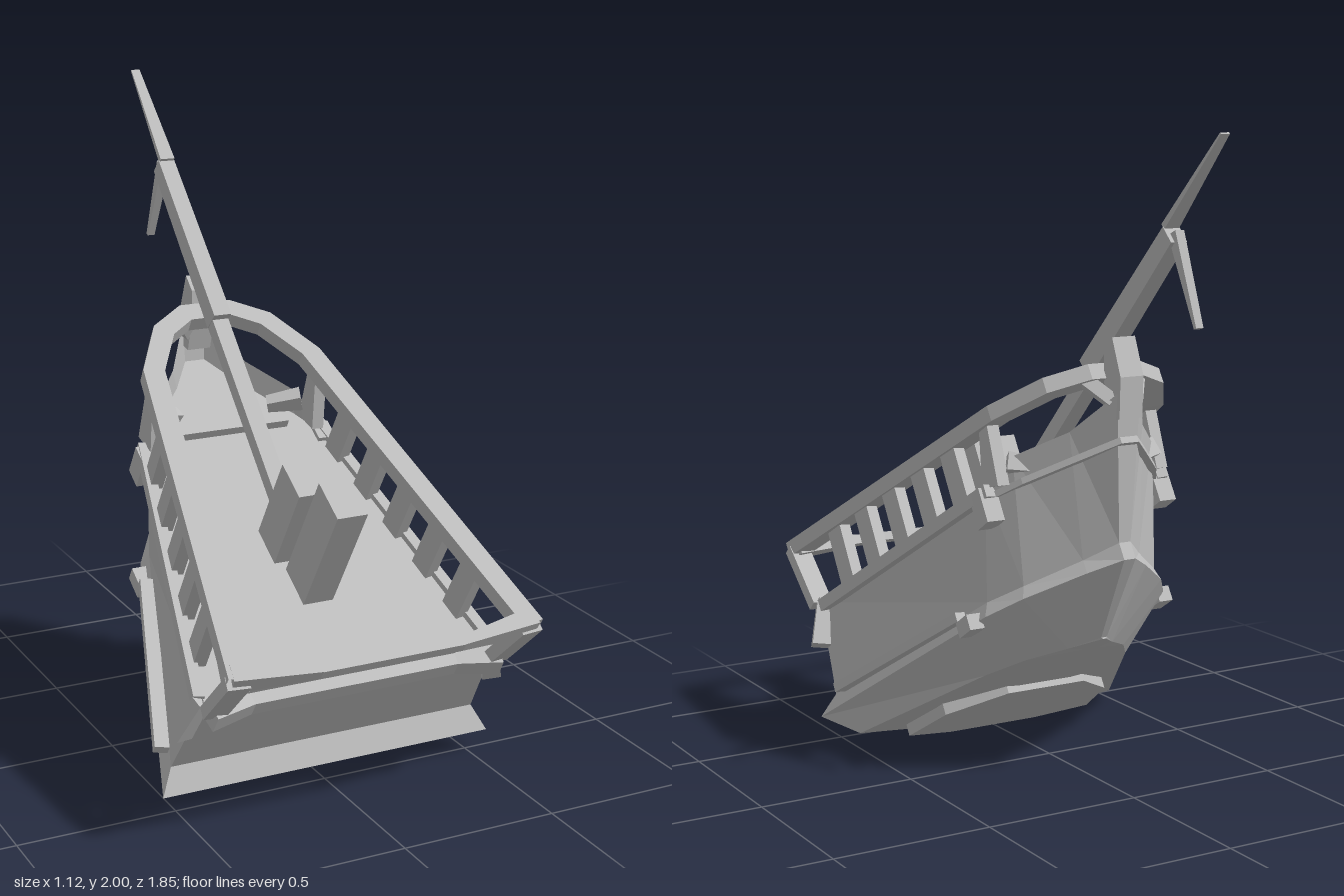
import * as THREE from 'three';

const gray = new THREE.MeshStandardMaterial({ color: 0xbcbcbc, flatShading: true, side: THREE.DoubleSide });
gray.name = 'weathered gray';

function add(parent, name, geometry) {
  const mesh = new THREE.Mesh(geometry, gray);
  mesh.name = name;
  parent.add(mesh);
  return mesh;
}

function box(parent, name, [x, y, z], [w, h, d]) {
  const mesh = add(parent, name, new THREE.BoxGeometry(w, h, d));
  mesh.position.set(x, y, z);
  return mesh;
}

// Straight beam from a to b, optionally tapering to width w1 and height h1
function beam(parent, name, a, b, w, h, w1 = w, h1 = h) {
  const from = new THREE.Vector3(...a), to = new THREE.Vector3(...b);
  const geo = new THREE.BoxGeometry(1, 1, from.distanceTo(to));
  const p = geo.attributes.position;
  for (let i = 0; i < p.count; i++) {
    const end = p.getZ(i) > 0;
    p.setX(i, p.getX(i) * (end ? w1 : w));
    p.setY(i, p.getY(i) * (end ? h1 : h));
  }
  geo.computeVertexNormals();
  // Aim within the parent's own frame, before attaching
  const mesh = new THREE.Mesh(geo, gray);
  mesh.name = name;
  mesh.position.copy(from).lerp(to, 0.5);
  mesh.lookAt(to);
  parent.add(mesh);
}

// Quad strips between successive rows of points
function loft(rows, closed = false) {
  const pos = [];
  const n = rows[0].length;
  for (let i = 0; i < rows.length - 1; i++) {
    for (let j = 0; j < (closed ? n : n - 1); j++) {
      const k = (j + 1) % n;
      const a = rows[i][j], b = rows[i][k], c = rows[i + 1][k], d = rows[i + 1][j];
      pos.push(...a, ...b, ...c, ...a, ...c, ...d);
    }
  }
  const geo = new THREE.BufferGeometry();
  geo.setAttribute('position', new THREE.Float32BufferAttribute(pos, 3));
  geo.computeVertexNormals();
  return geo;
}

const mirror = ([x, y, z]) => [-x, y, z];

// Horizontal plate from a half outline of [x, z] points
function plate(parent, name, half, y, thickness) {
  const pts = [...half, ...half.map(([x, z]) => [-x, z]).reverse()];
  const shape = new THREE.Shape(pts.map(([x, z]) => new THREE.Vector2(x, -z)));
  const geo = new THREE.ExtrudeGeometry(shape, { depth: thickness, bevelEnabled: false });
  geo.rotateX(-Math.PI / 2);
  add(parent, name, geo).position.y = y;
}

// Mitred rectangular rail following a path
function rail(path, w, h) {
  return loft(path.map((p, i) => {
    const a = path[Math.max(i - 1, 0)], b = path[Math.min(i + 1, path.length - 1)];
    const dx = b[0] - a[0], dz = b[2] - a[2], l = Math.hypot(dx, dz);
    const nx = -dz / l * w / 2, nz = dx / l * w / 2;
    return [[1, 1], [1, -1], [-1, -1], [-1, 1]].map(([s, t]) => [p[0] + s * nx, p[1] + t * h / 2, p[2] + s * nz]);
  }), true);
}

export function createModel() {
  const model = new THREE.Group();
  model.name = 'shipBow';
  const ship = new THREE.Group();
  ship.name = 'tiltedBow';
  ship.rotation.x = 0.5586;
  model.add(ship);

  // Hull: lines running from stern to stem, listed from sheer to keel
  const lines = [
    [[0.485, 0.71, 0.355], [0.305, 0.71, -0.6], [0.25, 0.76, -0.715], [0.13, 0.76, -0.87], [0.04, 0.8, -1.04]],
    [[0.515, 0.39, 0.35], [0.305, 0.405, -0.42], [0.235, 0.405, -0.54], [0.1, 0.415, -0.69], [0.02, 0.425, -0.785]],
    [[0.555, 0.34, 0.42], [0.325, 0.36, -0.42], [0.25, 0.365, -0.54], [0.105, 0.37, -0.7], [0.02, 0.37, -0.785]],
    [[0.48, 0.24, 0.32], [0.26, 0.235, -0.2], [0.18, 0.23, -0.33], [0.08, 0.22, -0.43], [0.01, 0.215, -0.52]],
    [[0.12, 0.21, 0.31], [0.09, 0.21, -0.2], [0.06, 0.21, -0.33], [0.03, 0.21, -0.43], [0.005, 0.21, -0.52]],
  ];
  add(ship, 'leftHull', loft(lines));
  add(ship, 'rightHull', loft(lines.map(l => l.map(mirror))));
  add(ship, 'transom', loft(lines.map(l => [l[0], mirror(l[0])])));
  add(ship, 'stemFace', loft(lines.map(l => [l[4], mirror(l[4])])));
  add(ship, 'bottom', loft([lines[4], lines[4].map(mirror)]));
  plate(ship, 'bottomPlate', [[0.16, 0.31], [0.34, 0.26], [0.3, 0.05], [0.14, -0.1]], 0.19, 0.04);

  // Deck with a raised inner panel and a low step at the bow
  plate(ship, 'deck', [[0.475, 0.355], [0.3, -0.6], [0.24, -0.71], [0.12, -0.86], [0.03, -0.97]], 0.67, 0.02);
  plate(ship, 'deckPanel', [[0.36, 0.34], [0.4, 0.29], [0.215, -0.58], [0.17, -0.62]], 0.69, 0.012);
  plate(ship, 'deckInnerPanel', [[0.33, 0.31], [0.365, 0.27], [0.19, -0.55], [0.15, -0.585]], 0.702, 0.008);
  box(ship, 'bowStep', [0, 0.705, -0.645], [0.4, 0.03, 0.03]);

  // Top rail running round the bow
  const half = [[0.475, 0.94, 0.46], [0.275, 0.89, -0.745], [0.18, 0.89, -0.91], [0.08, 0.89, -0.975]];
  add(ship, 'topRail', rail([...half, ...half.map(mirror).reverse()], 0.07, 0.05));
  beam(ship, 'sternCrossbar', [-0.23, 0.95, 0.475], [0.23, 0.95, 0.475], 0.03, 0.03);
  beam(ship, 'sternSill', [-0.35, 0.69, 0.375], [0.35, 0.69, 0.375], 0.04, 0.05);

  for (const s of [1, -1]) {
    const side = s > 0 ? 'left' : 'right';
    const m = ([x, y, z]) => [s * x, y, z];
    // Stern frame corners
    beam(ship, side + 'CrossbarEnd', m([0.22, 0.95, 0.475]), m([0.49, 0.935, 0.435]), 0.03, 0.03, 0.06, 0.06);
    beam(ship, side + 'SternPost', m([0.475, 0.94, 0.455]), m([0.47, 0.71, 0.39]), 0.07, 0.04);
    beam(ship, side + 'SillEnd', m([0.34, 0.69, 0.375]), m([0.48, 0.7, 0.395]), 0.04, 0.05, 0.07, 0.06);
    // Rail posts
    for (let i = 0; i < 5; i++) {
      const z = 0.18 - i * 0.168, x = 0.405 + z * 0.17;
      const post = box(ship, side + 'RailPost', [s * x, 0.79, z], [0.04, 0.22, 0.075]);
      post.rotation.y = s * 0.17;
    }
    // Bow knees around the side openings
    beam(ship, side + 'BowKnee', m([0.285, 0.88, -0.69]), m([0.285, 0.7, -0.63]), 0.04, 0.05, 0.04, 0.1);
    beam(ship, side + 'BowBrace', m([0.26, 0.75, -0.69]), m([0.16, 0.71, -0.72]), 0.05, 0.06, 0.04, 0.04);
    beam(ship, side + 'StemBrace', m([0.09, 0.88, -0.97]), m([0.035, 0.79, -1.0]), 0.04, 0.04);
    // Gunwale strip with end blocks
    beam(ship, side + 'Gunwale', m([0.49, 0.69, 0.33]), m([0.31, 0.69, -0.63]), 0.035, 0.04);
    beam(ship, side + 'SternBracket', m([0.485, 0.7, 0.34]), m([0.525, 0.56, 0.35]), 0.04, 0.04, 0.05, 0.06);
    box(ship, side + 'BowBlock', [s * 0.31, 0.65, -0.585], [0.06, 0.11, 0.07]);
    // Lower rubbing strip
    beam(ship, side + 'RubbingStrip', m([0.525, 0.395, 0.29]), m([0.35, 0.4, -0.32]), 0.045, 0.03);
    box(ship, side + 'StripBlock', [s * 0.345, 0.36, -0.35], [0.05, 0.05, 0.08]);
  }

  // Stem head
  const stem = new THREE.Shape([[1.1, 0.955], [1.08, 0.834], [1.01, 0.73], [0.96, 0.75], [0.99, 0.86], [1.04, 0.945]]
    .map(p => new THREE.Vector2(...p)));
  const stemGeo = new THREE.ExtrudeGeometry(stem, { depth: 0.08, bevelEnabled: false });
  stemGeo.translate(0, 0, -0.04).rotateY(Math.PI / 2);
  add(ship, 'stemHead', stemGeo);

  // Mooring posts on the deck
  box(ship, 'aftPost', [0, 0.9, 0.013], [0.1, 0.42, 0.14]);
  box(ship, 'forePost', [0, 0.855, -0.151], [0.155, 0.33, 0.132]);
  box(ship, 'sidePost', [0.05, 0.8, -0.01], [0.04, 0.25, 0.09]);

  // Bowsprit with its heel, tapering tip and hanging strut
  beam(model, 'bowspritHeel', [0, 0.8, 0.2], [0, 1.27, -0.27], 0.055, 0.05);
  beam(model, 'bowsprit', [0, 1.275, -0.255], [0, 1.71, -0.69], 0.06, 0.075, 0.055, 0.06);
  beam(model, 'bowspritTip', [0, 1.73, -0.665], [0, 1.997, -0.925], 0.05, 0.02, 0.03, 0.006);
  beam(model, 'hangingStrut', [0, 1.715, -0.695], [0, 1.455, -0.812], 0.03, 0.04, 0.025, 0.012);
  return model;
}
